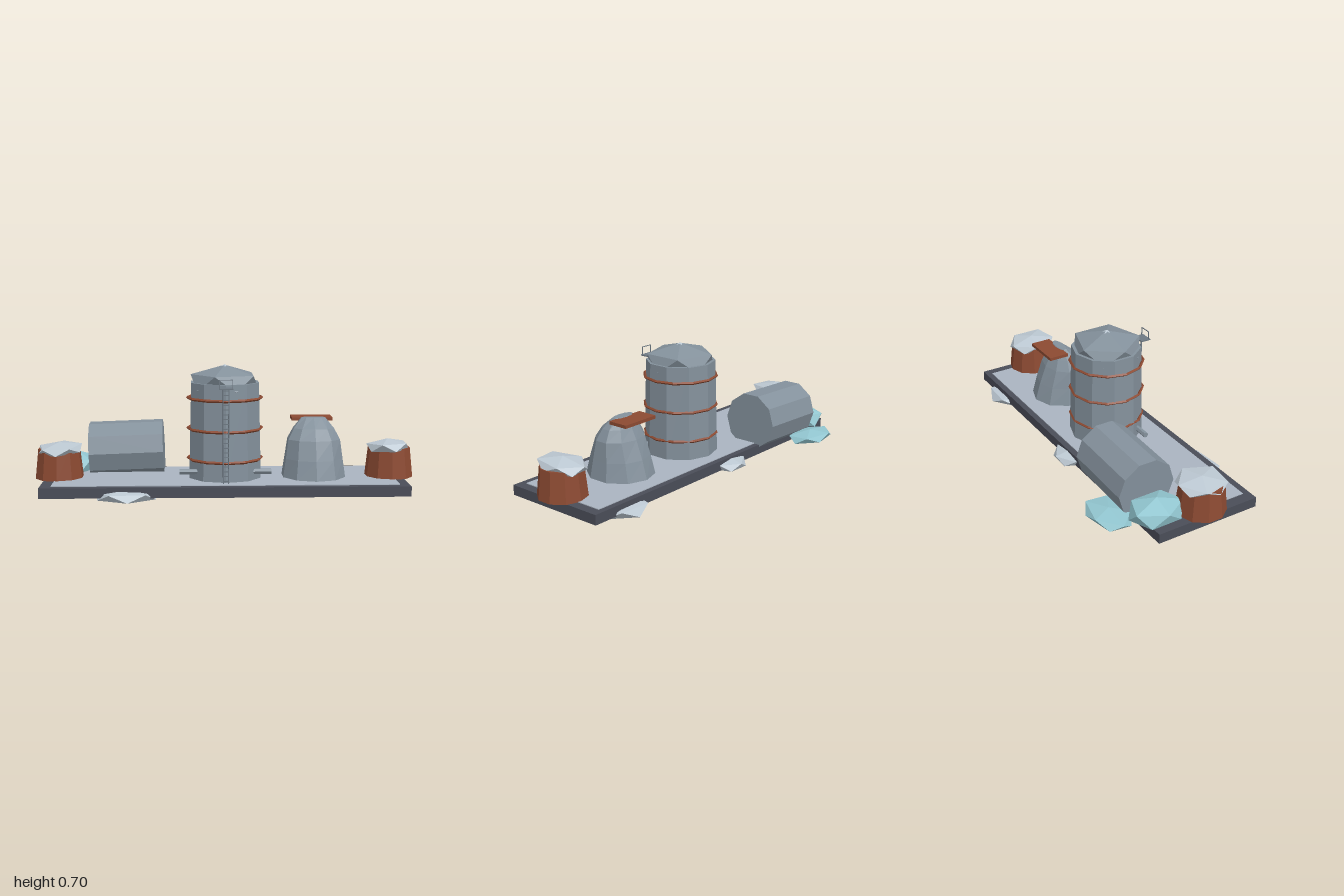
import * as THREE from 'three';

const flat = (name, color, side = THREE.FrontSide) => {
  const m = new THREE.MeshStandardMaterial({ color, flatShading: true, side });
  m.name = name;
  return m;
};

export function createModel() {
  const root = new THREE.Group();
  root.name = 'storageYard';
  const steel = flat('steel', 0x84919c);
  const slabMat = flat('darkConcrete', 0x4a4d58);
  const floorMat = flat('paleFloor', 0xaab4c0);
  const rust = flat('rust', 0x8c4a32);
  const snow = flat('snow', 0xbcc8d2);
  const ice = flat('ice', 0x92c6d0);
  const metal = flat('ladderMetal', 0x6e7983);

  const add = (name, geo, mat, x, y, z, parent = root) => {
    const m = new THREE.Mesh(geo, mat);
    m.name = name;
    m.position.set(x, y, z);
    parent.add(m);
    return m;
  };
  const box = (name, mat, w, h, d, x, y, z, parent) =>
    add(name, new THREE.BoxGeometry(w, h, d), mat, x, y, z, parent);

  // Faceted lump: an icosahedron standing on a corner, turned and squashed
  const lump = (name, mat, [x, y, z], [rx, ry, rz], turn = 0, tiltX = 0, tiltZ = 0) => {
    const g = new THREE.IcosahedronGeometry(1, 0);
    g.rotateZ(-0.5536).rotateY(turn).scale(rx, ry, rz);
    const m = add(name, g, mat, x, y, z);
    m.rotation.set(tiltX, 0, tiltZ);
    return m;
  };

  // Closed shell through elliptical rings [y, rx, rz, cz], capped on top
  const shell = (rings, n) => {
    const pos = [], idx = [];
    for (const [y, rx, rz, cz] of rings)
      for (let i = 0; i < n; i++) {
        const a = (i / n) * Math.PI * 2;
        pos.push(Math.sin(a) * rx, y, Math.cos(a) * rz + cz);
      }
    for (let r = 0; r < rings.length - 1; r++)
      for (let i = 0; i < n; i++) {
        const a = r * n + i, b = r * n + (i + 1) % n;
        idx.push(a, b, b + n, a, b + n, a + n);
      }
    const top = (rings.length - 1) * n;
    for (let i = 1; i < n - 1; i++) idx.push(top, top + i, top + i + 1);
    const g = new THREE.BufferGeometry();
    g.setAttribute('position', new THREE.Float32BufferAttribute(pos, 3));
    g.setIndex(idx);
    g.computeVertexNormals();
    return g;
  };

  // Foundation with pale floor
  box('foundation', slabMat, 1.89, 0.053, 0.58, -0.003, 0.0715, 0.07);
  box('floor', floorMat, 1.78, 0.008, 0.51, 0, 0.098, 0.067);

  // Tall tank with bands and faceted roof
  add('tallTank', new THREE.CylinderGeometry(0.186, 0.198, 0.507, 10), steel, 0, 0.3515, 0.07);
  for (const y of [0.203, 0.362, 0.523]) {
    const g = new THREE.TorusGeometry(0.196, 0.008, 4, 12);
    g.rotateX(Math.PI / 2);
    add('tankBand', g, rust, 0, y, 0.072);
  }
  lump('tankRoof', steel, [0, 0.605, 0.072], [0.201, 0.09, 0.201], Math.PI);
  add('roofCap', new THREE.ConeGeometry(0.03, 0.012, 5), snow, 0, 0.691, 0.072);

  // Outlet pipes on both sides
  for (const s of [-1, 1]) {
    const g = new THREE.CylinderGeometry(0.015, 0.015, 0.1, 6);
    g.rotateZ(Math.PI / 2);
    add('outletPipe', g, steel, s * 0.19, 0.145, 0.175);
  }

  // Ladder, platform and railing
  const ladder = new THREE.Group();
  ladder.name = 'ladder';
  root.add(ladder);
  for (const s of [-1, 1]) {
    box('ladderRail', metal, 0.005, 0.49, 0.005, s * 0.014, 0.345, 0.284, ladder);
    box('railingPost', metal, 0.004, 0.048, 0.004, s * 0.033, 0.616, 0.317, ladder);
  }
  for (let i = 0; i < 20; i++)
    box('ladderRung', metal, 0.028, 0.005, 0.005, 0, 0.115 + i * 0.0245, 0.284, ladder);
  box('platform', metal, 0.072, 0.006, 0.056, 0, 0.592, 0.299, ladder);
  box('railingBar', metal, 0.07, 0.004, 0.004, 0, 0.638, 0.317, ladder);

  // Fallen tank lying on its side
  const lying = new THREE.CylinderGeometry(0.158, 0.158, 0.4, 10);
  lying.rotateZ(Math.PI / 2);
  const fallen = add('fallenTank', lying, steel, -0.53, 0.213, -0.15);
  fallen.rotation.z = 0.035;

  // Domed silo with a rusty lid slab
  add('silo', shell([
    [0.1, 0.173, 0.182, 0.07], [0.2, 0.158, 0.152, 0.07], [0.3, 0.144, 0.113, 0.07],
    [0.358, 0.112, 0.078, 0.065], [0.412, 0.066, 0.025, 0.05],
  ], 10), steel, 0.472, 0, 0);
  box('siloLid', rust, 0.217, 0.017, 0.112, 0.468, 0.4, -0.016);

  // Rusty drums with snow on top
  for (const x of [-0.875, 0.875])
    add('drum', new THREE.CylinderGeometry(0.111, 0.128, 0.157, 10), rust, x, 0.1775, 0.072);
  lump('leftDrumSnow', snow, [0.868, 0.258, 0.075], [0.125, 0.042, 0.15], 0.5, -0.06, 0.05);
  lump('rightDrumSnow', snow, [-0.872, 0.252, 0.07], [0.132, 0.035, 0.15], 0.25, 0.04, 0.05);

  // Rocks bedded under the foundation edges
  lump('frontRock', snow, [-0.51, 0.05, 0.3], [0.175, 0.04, 0.14], 0.4);
  lump('backLeftRock', snow, [0.7, 0.045, -0.12], [0.165, 0.043, 0.18], 0.9);
  lump('backRock', snow, [-0.08, 0.058, -0.195], [0.118, 0.036, 0.105], 0.3);

  // Ice blocks beside the fallen tank
  lump('outerIce', ice, [-0.67, 0.09, -0.33], [0.165, 0.035, 0.115], 0.6, 0.06);
  lump('innerIce', ice, [-0.815, 0.135, -0.15], [0.125, 0.072, 0.16], 1.9);

  return root;
}
